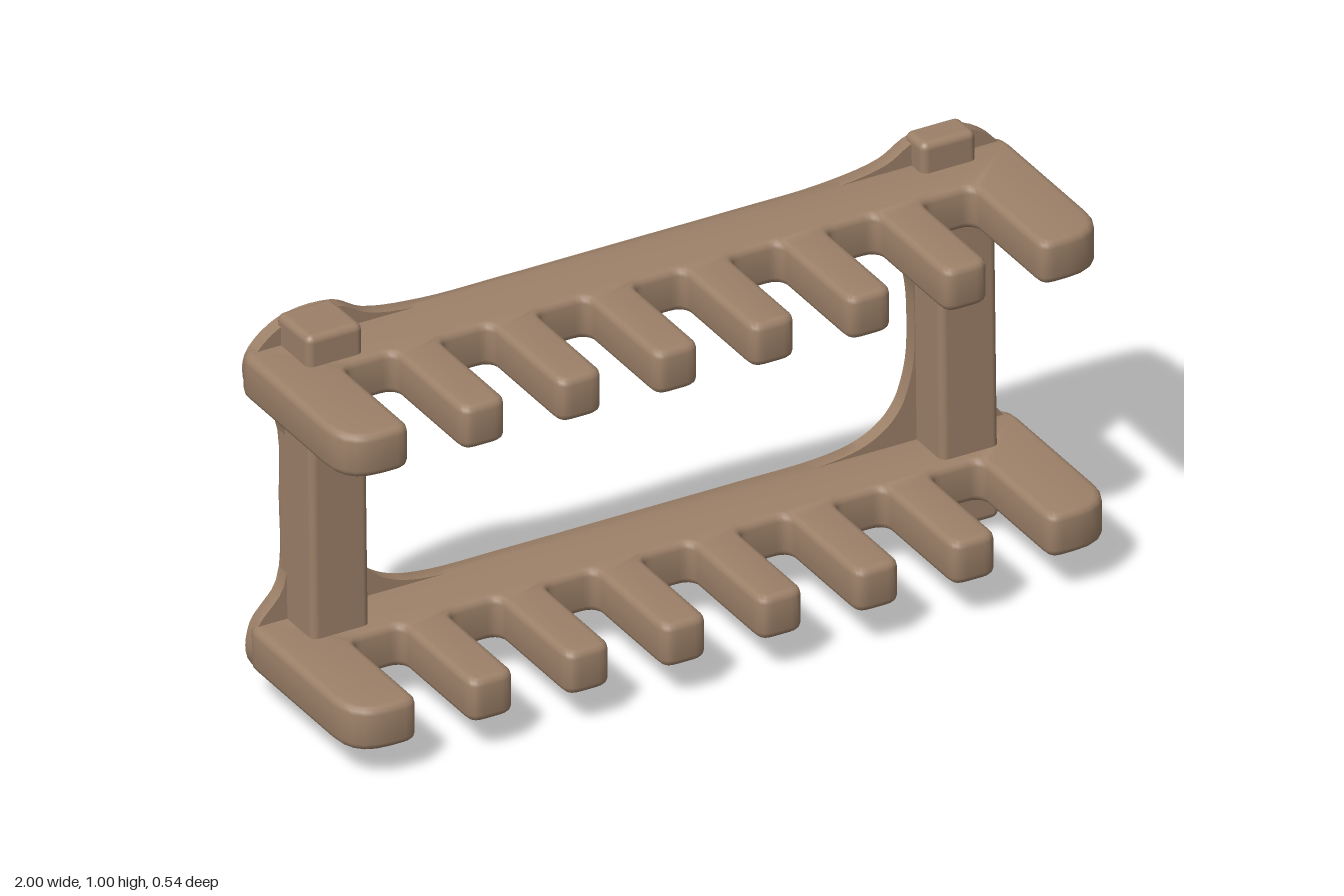
import * as THREE from 'three';
import { toCreasedNormals } from 'three/addons/utils/BufferGeometryUtils.js';
import { RoundedBoxGeometry } from 'three/addons/geometries/RoundedBoxGeometry.js';

const MID = 0.505; // height of the rack's centre

// Closed shape from [x, y, radius] corners, each corner rounded
function roundedShape(corners) {
  const shape = new THREE.Shape();
  const n = corners.length;
  corners.forEach(([x, y, r], i) => {
    const c = new THREE.Vector2(x, y);
    const toward = ([px, py]) => new THREE.Vector2(px, py).sub(c).setLength(r).add(c);
    const a = toward(corners[(i + n - 1) % n]);
    const b = toward(corners[(i + 1) % n]);
    if (i === 0) shape.moveTo(a.x, a.y);
    else shape.lineTo(a.x, a.y);
    shape.quadraticCurveTo(x, y, b.x, b.y);
  });
  shape.closePath();
  return shape;
}

// Comb-shaped shelf: a back strip with eight prongs, extruded downwards
function combGeometry() {
  const back = -0.23, root = -0.05, tip = 0.265;
  const corners = [[-0.99, back, 0.05]];
  for (let i = 0; i < 8; i++) {
    const first = i === 0, last = i === 7;
    const centre = -0.877 + i * 0.2505;
    const left = first ? -0.99 : centre - 0.058;
    const right = last ? 0.99 : centre + 0.058;
    if (!first) corners.push([left, root, 0.03]);
    corners.push([left, tip, first ? 0.1 : 0.035]);
    corners.push([right, tip, last ? 0.1 : 0.035]);
    if (!last) corners.push([right, root, 0.03]);
  }
  corners.push([0.99, back, 0.05]);
  const bevel = 0.018, height = 0.11;
  const geo = new THREE.ExtrudeGeometry(roundedShape(corners), {
    depth: height - 2 * bevel, bevelThickness: bevel, bevelSize: bevel,
    bevelOffset: -bevel, bevelSegments: 3, curveSegments: 5,
  });
  geo.translate(0, 0, bevel - height / 2);
  geo.rotateX(Math.PI / 2);
  return toCreasedNormals(geo, 0.9);
}

// Mirror a quarter outline into a closed smooth loop
function loopCurve(quarter) {
  const inner = quarter.slice(1, -1).reverse();
  const pts = [
    ...quarter,
    ...inner.map(([x, y]) => [x, -y]),
    ...quarter.slice(0, 1).map(([x, y]) => [x, -y]),
    ...quarter.slice(1).map(([x, y]) => [-x, -y]),
    ...inner.map(([x, y]) => [-x, y]),
  ];
  return new THREE.CatmullRomCurve3(pts.map(([x, y]) => new THREE.Vector3(x, y, 0)), true);
}

// Back frame: swelling cross-sections between an inner and an outer loop
function frameGeometry() {
  const inner = loopCurve([[0, 0.295], [0.3, 0.295], [0.5, 0.293], [0.59, 0.28], [0.64, 0.26],
    [0.675, 0.235], [0.7, 0.205], [0.715, 0.175], [0.735, 0.1], [0.74, 0]]);
  const outer = loopCurve([[0, 0.405], [0.3, 0.405], [0.52, 0.408], [0.67, 0.43], [0.75, 0.47],
    [0.89, 0.462], [0.975, 0.39], [0.97, 0.3], [0.9, 0.21], [0.89, 0]]);
  const around = 180, across = 10, row = across + 3;
  const pos = [], index = [];
  for (let i = 0; i < around; i++) {
    const a = inner.getPoint(i / around), b = outer.getPoint(i / around);
    const onRail = THREE.MathUtils.smoothstep(Math.abs(b.y), 0.1, 0.38);
    const ripple = 0.006 * Math.sin(b.x * 9 + 2.5);
    const swell = 0.006 + onRail * (0.032 + ripple);
    for (let j = 0; j <= across; j++) {
      const s = j / across;
      const p = a.clone().lerp(b, s);
      pos.push(p.x, p.y, -0.232 - swell * Math.sin(Math.PI * s));
    }
    pos.push(b.x, b.y, -0.195, a.x, a.y, -0.195);
    for (let j = 0; j < row; j++) {
      const i2 = (i + 1) % around, j2 = (j + 1) % row;
      const p = i * row + j, q = i * row + j2, r = i2 * row + j, t = i2 * row + j2;
      index.push(p, q, r, q, t, r);
    }
  }
  const geo = new THREE.BufferGeometry();
  geo.setAttribute('position', new THREE.Float32BufferAttribute(pos, 3));
  geo.setIndex(index);
  return toCreasedNormals(geo, 0.9);
}

export function createModel() {
  const wood = new THREE.MeshStandardMaterial({ color: 0x9c8068 });
  wood.name = 'wood';
  const rack = new THREE.Group();
  rack.name = 'rack';
  // Everything hangs on a body that leans very slightly to one side
  const body = new THREE.Group();
  body.name = 'body';
  body.position.y = MID;
  body.rotation.z = 0.012;
  rack.add(body);

  const add = (name, geo, x = 0, y = 0, z = 0) => {
    const mesh = new THREE.Mesh(geo, wood);
    mesh.name = name;
    mesh.position.set(x, y, z);
    body.add(mesh);
    return mesh;
  };
  const block = (name, x0, x1, y0, y1, z0, z1) =>
    add(name, new RoundedBoxGeometry(x1 - x0, y1 - y0, z1 - z0, 3, 0.018),
      (x0 + x1) / 2, (y0 + y1) / 2, (z0 + z1) / 2);

  // Shelves
  const comb = combGeometry();
  add('upperShelf', comb, -0.006, 0.352).rotation.x = 0.02;
  add('lowerShelf', comb, 0.006, -0.353).rotation.x = 0.02;

  // Posts
  block('rightPost', -0.892, -0.742, -0.4, 0.4, -0.238, -0.08);
  block('leftPost', 0.742, 0.892, -0.4, 0.4, -0.238, -0.08);

  // Post ends showing above and below the shelves
  block('rightPostTop', -0.9, -0.755, 0.3, 0.485, -0.22, -0.072);
  block('leftPostTop', 0.738, 0.88, 0.3, 0.485, -0.232, -0.145);
  block('rightPostFoot', -0.886, -0.742, -0.493, -0.3, -0.232, -0.085);
  block('leftPostFoot', 0.745, 0.895, -0.487, -0.3, -0.232, -0.085);

  // Flared frame joining posts and shelves at the back
  add('backFrame', frameGeometry());
  return rack;
}
